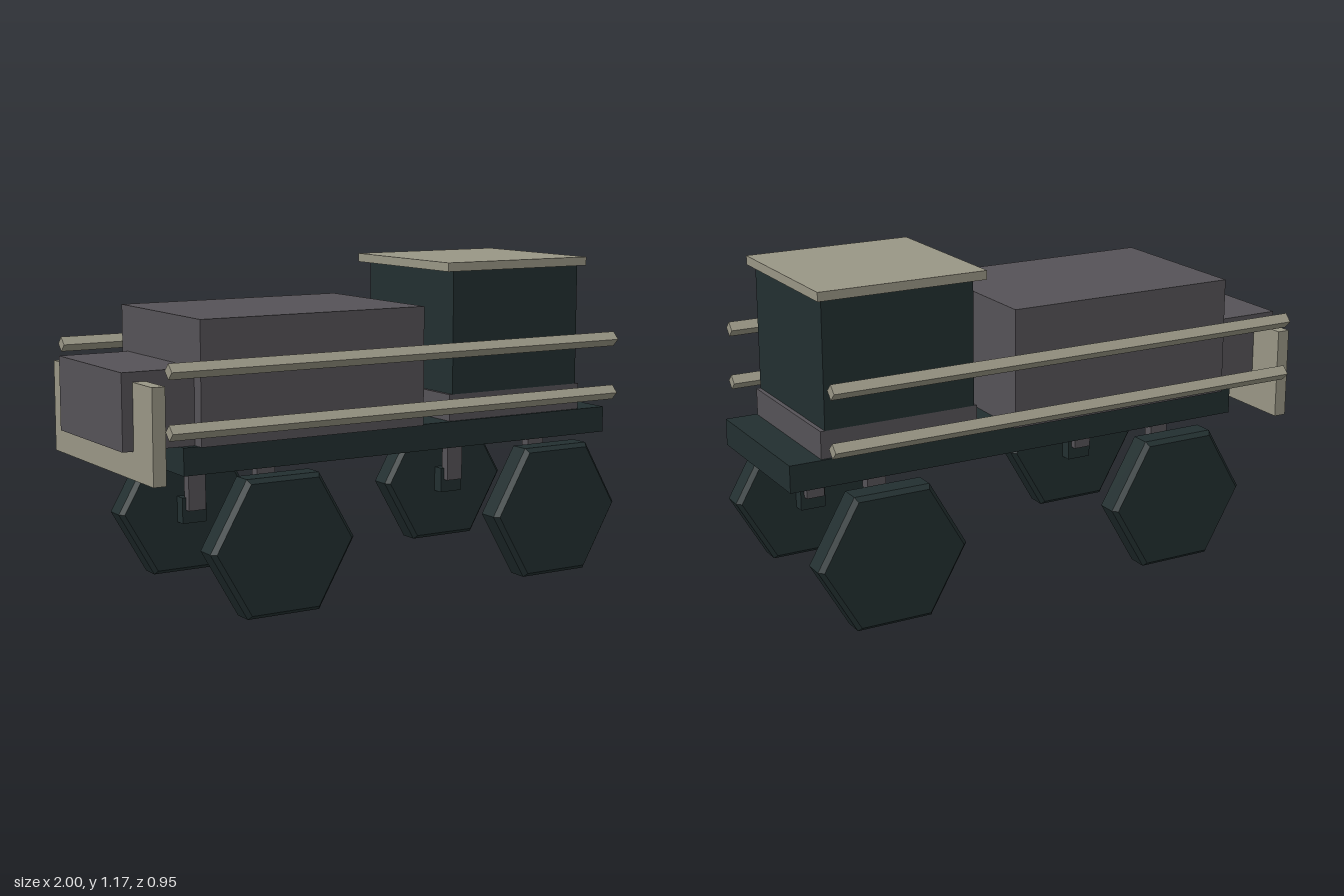
import * as THREE from 'three';

const material = (name, color) => {
  const m = new THREE.MeshStandardMaterial({ color, flatShading: true });
  m.name = name;
  return m;
};

export function createModel() {
  const dark = material('dark teal', 0x222f30);
  const grey = material('warm grey', 0x555257);
  const beige = material('beige', 0x999685);
  const model = new THREE.Group();
  model.name = 'truck';

  const add = (name, geometry, mat) => {
    const mesh = new THREE.Mesh(geometry, mat);
    mesh.name = name;
    model.add(mesh);
    return mesh;
  };
  // Box given by its extents along each axis
  const box = (name, mat, [x0, x1], [y0, y1], [z0, z1]) => {
    const mesh = add(name, new THREE.BoxGeometry(x1 - x0, y1 - y0, z1 - z0), mat);
    mesh.position.set((x0 + x1) / 2, (y0 + y1) / 2, (z0 + z1) / 2);
    return mesh;
  };

  // Body
  box('chassis', dark, [-0.79, 1], [0.495, 0.592], [-0.29, 0.29]);
  box('cargoBody', grey, [-0.735, 0.155], [0.592, 1.022], [-0.314, 0.314]);
  box('rearBox', grey, [-1, -0.735], [0.592, 0.857], [-0.265, 0.265]);
  box('rearPlate', beige, [-0.96, -0.913], [0.495, 0.823], [-0.414, 0.414]);

  // Cab
  box('cabBase', grey, [0.29, 0.882], [0.592, 0.69], [-0.282, 0.282]);
  box('cab', dark, [0.302, 0.866], [0.69, 1.14], [-0.282, 0.282]);
  box('cabRoof', beige, [0.262, 0.888], [1.14, 1.172], [-0.308, 0.308]);

  // Bevelled six-sided wheel, revolved about its axle
  const profile = [[0, -0.053], [0.262, -0.053], [0.279, -0.036], [0.279, 0.036], [0.262, 0.053], [0, 0.053]]
    .map(([r, h]) => new THREE.Vector2(r, h));
  const wheelGeometry = new THREE.LatheGeometry(profile, 6, Math.PI / 2).rotateX(Math.PI / 2);

  for (const side of [1, -1]) {
    const span = (a, b) => (side > 0 ? [a, b] : [-b, -a]);

    // Square rails turned on edge
    for (const y of [0.675, 0.875]) {
      const rail = add('sideRail', new THREE.BoxGeometry(1.83, 0.038, 0.038), beige);
      rail.position.set(-0.002, y, side * 0.447);
      rail.rotation.x = Math.PI / 4;
    }

    // Wheels with struts and hubs
    for (const x of [-0.475, 0.682]) {
      add('wheel', wheelGeometry, dark).position.set(x, 0.245, side * 0.37);
      box('strut', grey, [x - 0.035, x + 0.035], [0.248, 0.495], span(0.247, 0.285));
      box('hub', dark, [x - 0.049, x + 0.049], [0.197, 0.295], span(0.272, 0.322));
    }
  }
  return model;
}
